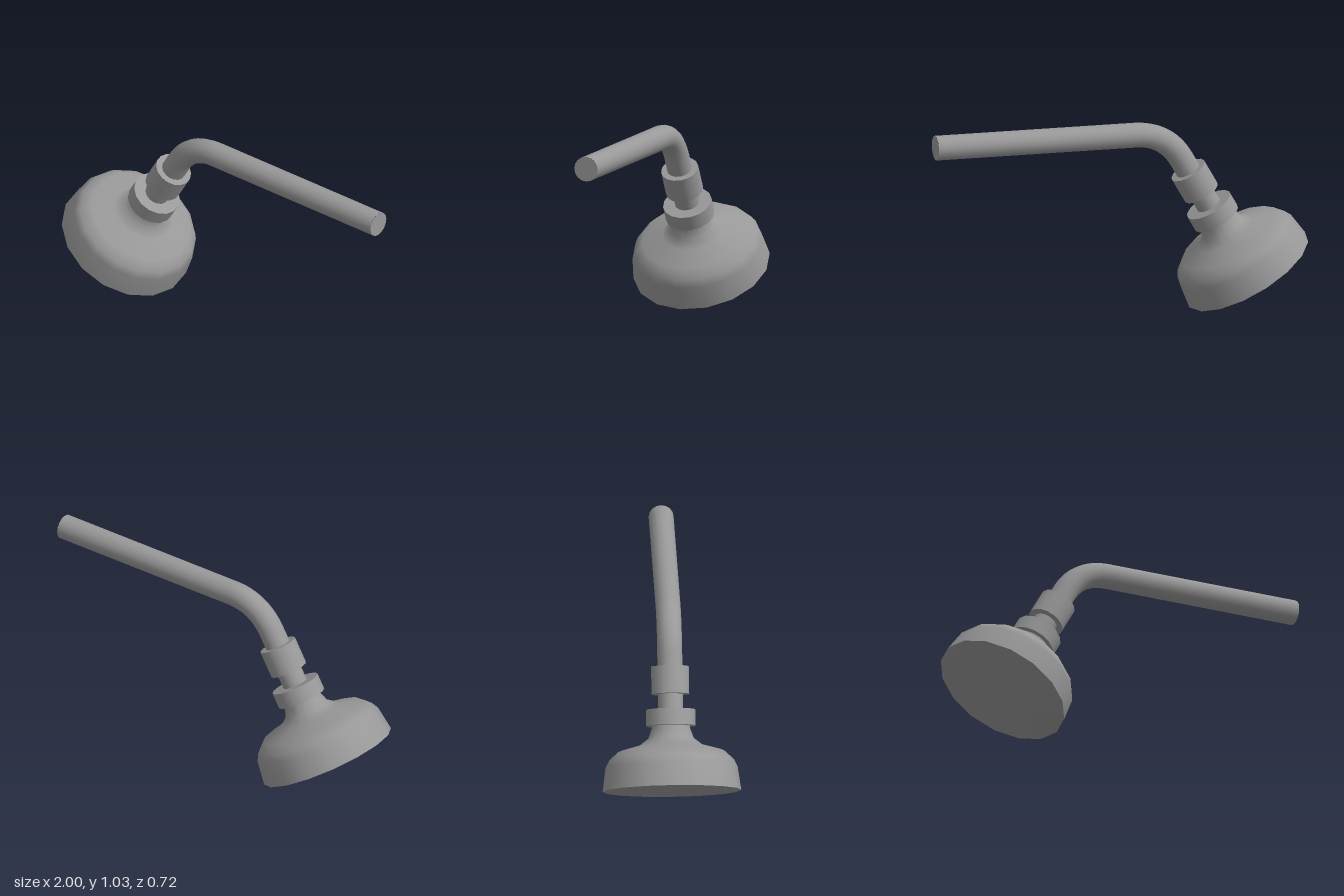
import * as THREE from 'three';

const SIDES = 16;
const PIPE_RADIUS = 0.065;
const TILT = THREE.MathUtils.degToRad(29.6);

export function createModel() {
  const group = new THREE.Group();
  const metal = new THREE.MeshStandardMaterial({ color: 0x999999 });
  metal.name = 'grey metal';

  const add = (parent, name, geometry) => {
    const mesh = new THREE.Mesh(geometry, metal);
    mesh.name = name;
    parent.add(mesh);
    return mesh;
  };
  const lathe = (points) =>
    new THREE.LatheGeometry(points.map(([r, y]) => new THREE.Vector2(r, y)), SIDES);

  // Tilted assembly: its local y axis runs from the spray face up to the pipe
  const head = new THREE.Group();
  head.name = 'showerHead';
  head.position.set(-0.688, 0.183, 0);
  head.rotation.z = -TILT;
  group.add(head);

  // Bell-shaped shell flaring down from the neck
  add(head, 'bell', lathe([
    [0.36, 0], [0.343, 0.125], [0.324, 0.162], [0.277, 0.206], [0.165, 0.238],
    [0.118, 0.275], [0.1, 0.325], [0.1, 0.36],
  ]));

  // Slightly domed spray face
  add(head, 'sprayFace', lathe([[0, -0.02], [0.17, -0.013], [0.36, 0]]));

  // Collars and the connector between them: name, radius, bottom, top
  for (const [name, radius, bottom, top] of [
    ['lowerCollar', 0.128, 0.338, 0.423],
    ['connector', PIPE_RADIUS, 0.4, 0.53],
    ['upperCollar', 0.098, 0.504, 0.648],
  ]) {
    const part = add(head, name,
      new THREE.CylinderGeometry(radius, radius, top - bottom, SIDES));
    part.position.y = (bottom + top) / 2;
  }

  // Bent supply pipe: short tilted run, bend, long nearly level run
  const alongAxis = (s) =>
    new THREE.Vector3(-0.688 + s * Math.sin(TILT), 0.183 + s * Math.cos(TILT), 0);
  const bendStart = alongAxis(0.718);
  const bendEnd = new THREE.Vector3(-0.08, 0.958, 0);
  const wallEnd = new THREE.Vector3(1, 0.975, 0);
  const path = new THREE.CurvePath();
  path.add(new THREE.LineCurve3(alongAxis(0.6), bendStart));
  path.add(new THREE.QuadraticBezierCurve3(bendStart, alongAxis(0.888), bendEnd));
  path.add(new THREE.LineCurve3(bendEnd, wallEnd));
  add(group, 'pipe', new THREE.TubeGeometry(path, 60, PIPE_RADIUS, SIDES, false));

  // Flat cap closing the wall end
  const cap = add(group, 'pipeEnd', new THREE.CircleGeometry(PIPE_RADIUS, SIDES));
  cap.position.copy(wallEnd);
  cap.rotation.y = Math.PI / 2;

  return group;
}
